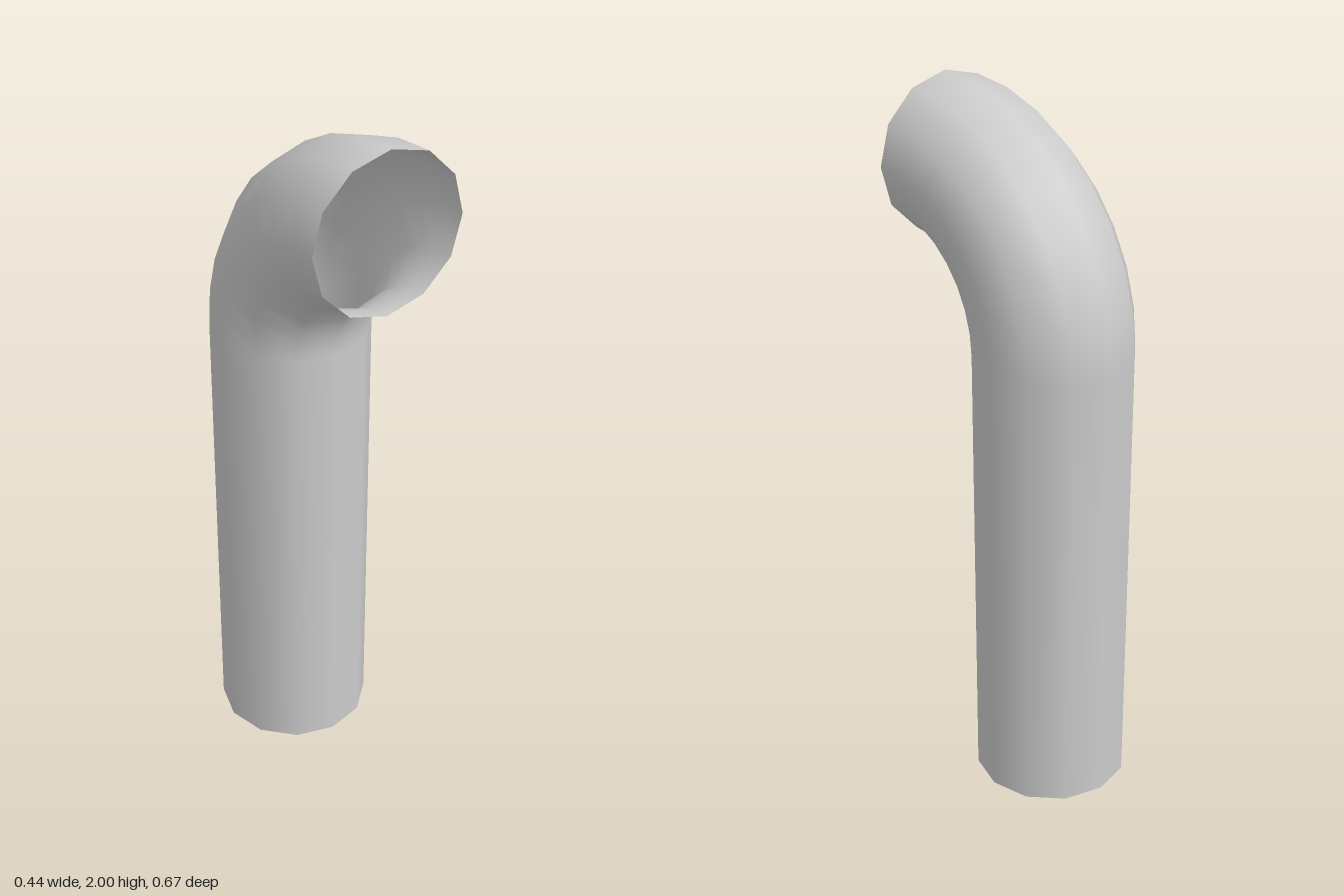
import * as THREE from 'three';

const TUBE = 0.2222;   // pipe radius
const BEND = 0.4444;   // elbow centreline radius
const RISE = 1.3333;   // height of the straight run
const SIDES = 12;

export function createModel() {
  const group = new THREE.Group();
  group.name = 'bentPipe';
  const material = new THREE.MeshStandardMaterial({ color: 0xcccccc, side: THREE.DoubleSide });

  // Straight upright run, open at both ends
  const straight = new THREE.CylinderGeometry(TUBE, TUBE, RISE, SIDES, 1, true);
  straight.translate(0, RISE / 2, BEND * 0.75 - BEND);
  const pipe = new THREE.Mesh(straight, material);
  pipe.name = 'straightPipe';

  // Quarter-turn elbow from vertical to facing the front, open at the mouth
  const bend = new THREE.TorusGeometry(BEND, TUBE, SIDES, 8, Math.PI / 2);
  bend.rotateY(Math.PI / 2);
  bend.translate(0, RISE, BEND * 0.75);
  const elbow = new THREE.Mesh(bend, material);
  elbow.name = 'elbow';

  group.add(pipe, elbow);
  return group;
}
